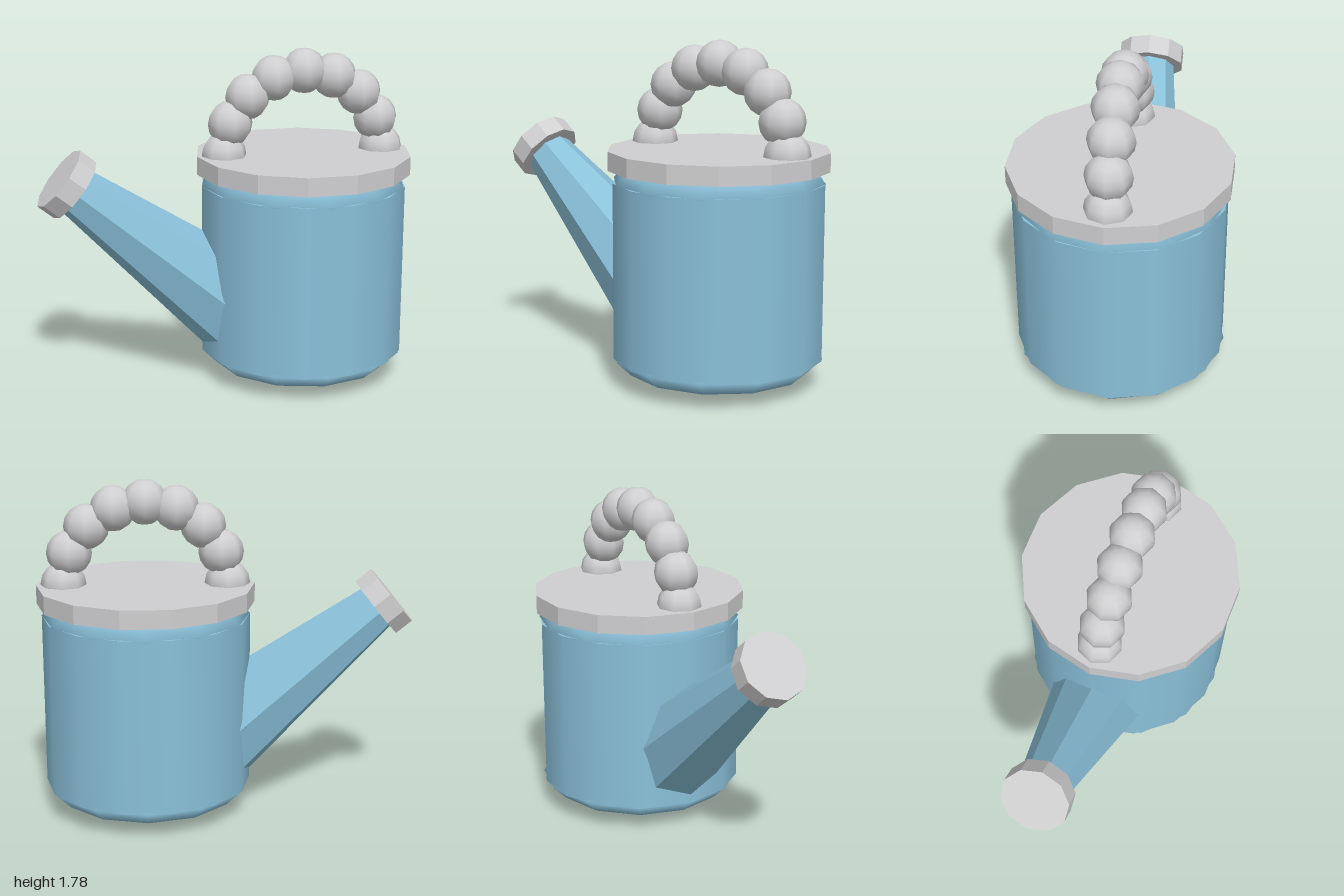
import * as THREE from 'three';

export function createModel() {
  const model = new THREE.Group();
  model.name = 'wateringCan';

  const blue = new THREE.MeshStandardMaterial({ name: 'blue enamel', color: 0x8ac0d9 });
  const grey = new THREE.MeshStandardMaterial({ name: 'light grey metal', color: 0xcfcfd1 });
  const CX = 0.42; // centre of the tank in x

  function add(parent, name, geometry, material, x, y) {
    const mesh = new THREE.Mesh(geometry, material);
    mesh.name = name;
    mesh.position.set(x, y, 0);
    parent.add(mesh);
    return mesh;
  }

  // Cylinder with a corner on the x axis; faceted ones get flat normals
  function prism(rTop, rBottom, height, sides, smooth = false) {
    const g = new THREE.CylinderGeometry(rTop, rBottom, height, sides, 1, false, Math.PI / 2);
    if (smooth) return g;
    const flat = g.toNonIndexed();
    flat.computeVertexNormals();
    return flat;
  }

  // Tank: smooth wall with a flattened ball at each end
  add(model, 'tankWall', prism(0.55, 0.55, 0.92, 14, true), blue, CX, 0.61);
  for (const [name, y] of [['tankBottom', 0.15], ['tankShoulder', 1.07]]) {
    const dome = new THREE.SphereGeometry(0.55, 12, 6).scale(1, 0.145 / 0.55, 1);
    add(model, name, dome, blue, CX, y);
  }

  // Lid
  add(model, 'lid', prism(0.575, 0.575, 0.098, 14), grey, CX, 1.185);

  // Handle: arch of beads
  const handle = new THREE.Group();
  handle.name = 'handle';
  model.add(handle);
  const bead = new THREE.SphereGeometry(0.12, 8, 8);
  for (let i = 0; i <= 8; i++) {
    const a = (i / 8) * Math.PI;
    add(handle, 'handleBead', bead, grey, CX + 0.43 * Math.cos(a), 1.24 + 0.43 * Math.sin(a));
  }

  // Spout and sprinkler head share one tilted axis; origin at the head's back
  const spout = new THREE.Group();
  spout.name = 'spoutAssembly';
  spout.position.set(-0.803, 1.092, 0);
  spout.rotation.z = THREE.MathUtils.degToRad(51.1);
  model.add(spout);
  add(spout, 'spout', prism(0.13, 0.282, 1.15, 8), blue, 0, -0.575);
  add(spout, 'sprinklerHead', prism(0.183, 0.183, 0.105, 10), grey, 0, 0.0525);

  return model;
}
